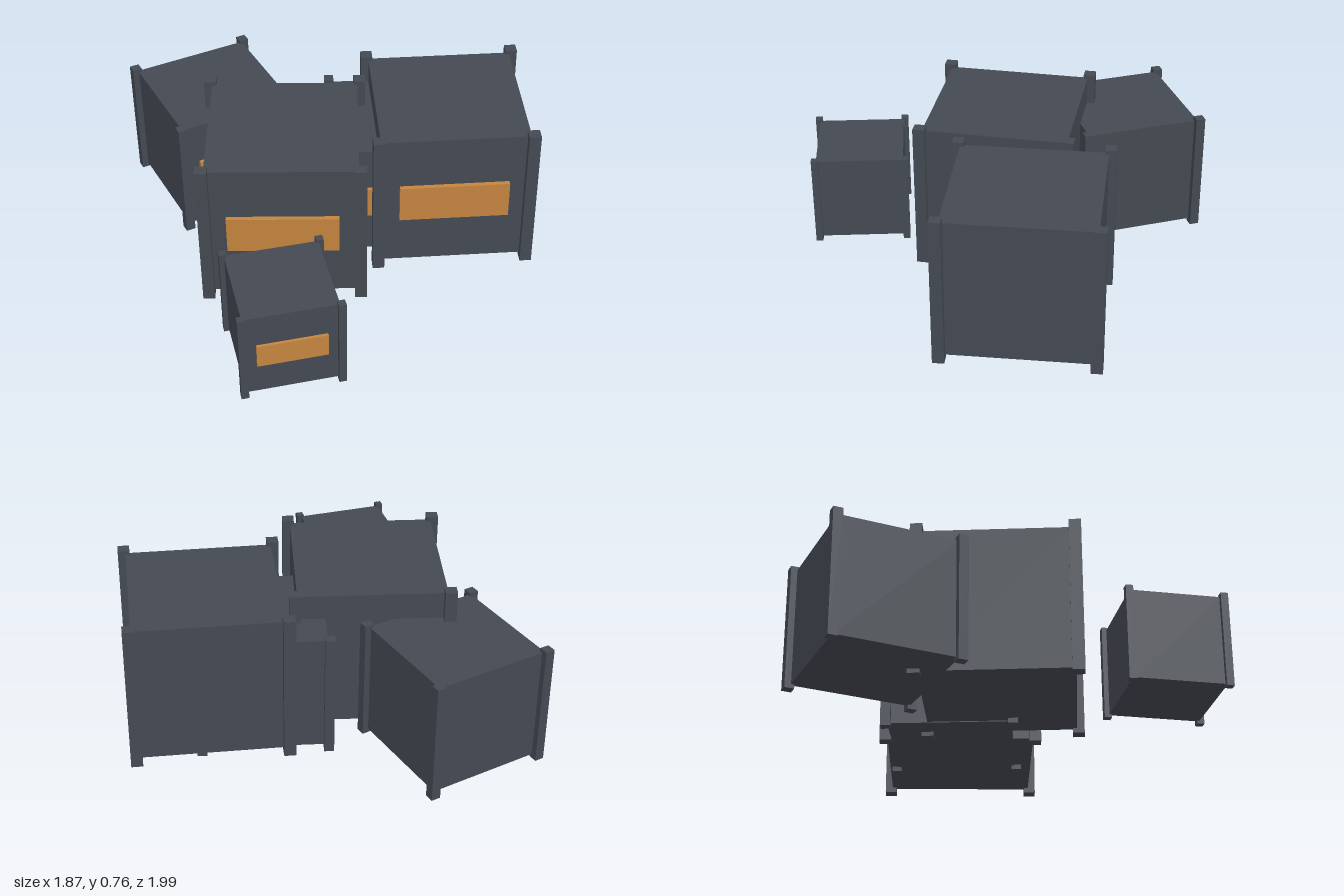
import * as THREE from 'three';

const steel = new THREE.MeshStandardMaterial({ color: 0x444952 });
steel.name = 'dark steel';
const amber = new THREE.MeshStandardMaterial({ color: 0xc4843f });
amber.name = 'amber';

// Crate placements: centre x and z, scale, yaw
const crates = [
  ['largeLeftCrate', -0.36, 0, 1, -0.285],
  ['largeRightCrate', 0.464, -0.004, 1, -0.217],
  ['middleCrate', 0.209, -0.097, 0.833, -0.275],
  ['backCrate', -0.562, -0.626, 0.816, 0.19],
  ['smallCrate', -0.573, 0.738, 0.617, -0.055],
];

function addBox(parent, name, material, [w, h, d], [x, y, z]) {
  const mesh = new THREE.Mesh(new THREE.BoxGeometry(w, h, d), material);
  mesh.name = name;
  mesh.position.set(x, y, z);
  parent.add(mesh);
}

function makeCrate(name) {
  const crate = new THREE.Group();
  crate.name = name;
  addBox(crate, 'body', steel, [0.71, 0.71, 0.71], [0, 0.38, 0]);
  // Corner posts stand proud above and below the body
  for (const x of [-1, 1]) {
    for (const z of [-1, 1]) {
      addBox(crate, 'cornerPost', steel, [0.057, 0.756, 0.057], [x * 0.364, 0.378, z * 0.364]);
    }
  }
  addBox(crate, 'frontPanel', amber, [0.526, 0.19, 0.03], [0, 0.38, 0.363]);
  return crate;
}

export function createModel() {
  const model = new THREE.Group();
  model.name = 'crateStack';
  for (const [name, x, z, scale, yaw] of crates) {
    const crate = makeCrate(name);
    crate.position.set(x, 0, z);
    crate.scale.setScalar(scale);
    crate.rotation.y = yaw;
    model.add(crate);
  }
  return model;
}
